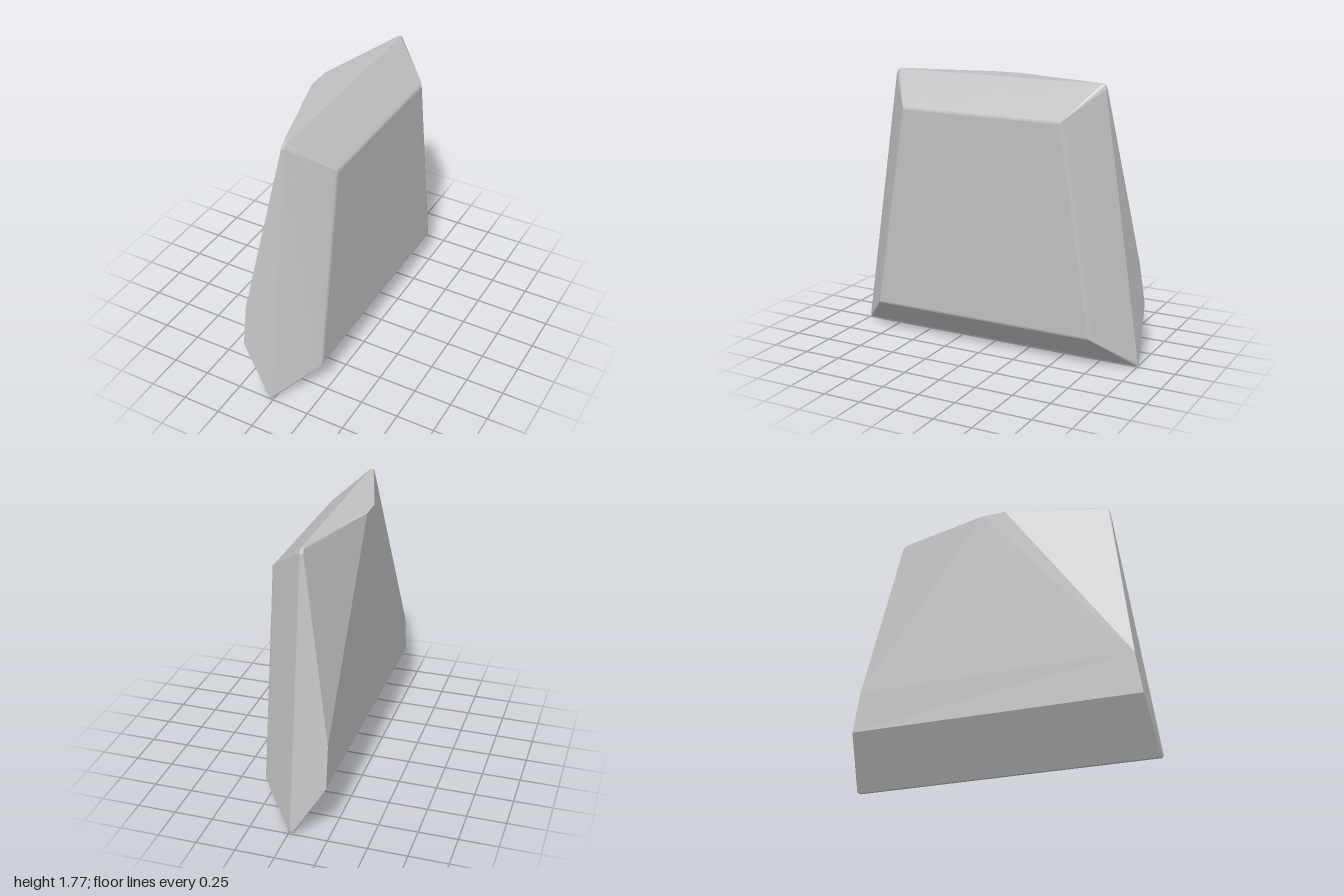
import * as THREE from 'three';
import { ConvexGeometry } from 'three/addons/geometries/ConvexGeometry.js';

export function createModel() {
  const group = new THREE.Group();
  group.name = 'bevelledSlab';
  const grey = new THREE.MeshStandardMaterial({ color: 0xc0c0c0 });
  grey.name = 'plain grey';

  const points = [];
  // Adds a corner and its mirror image across the z = 0 plane
  const addPair = (x, y, z) => points.push(new THREE.Vector3(x, y, z), new THREE.Vector3(x, y, -z));

  // Broad trapezoid face on the +x side, with a softened edge: x, bottom y, bottom z, top y, top z
  for (const [x, y0, z0, y1, z1] of [
    [0.228, 0.226, 0.757, 1.548, 0.541],
    [0.224, 0.214, 0.770, 1.561, 0.553],
    [0.213, 0.202, 0.783, 1.573, 0.565],
  ]) {
    addPair(x, y0, z0);
    addPair(x, y1, z1);
  }

  // Widest outline, a narrow rim with rounded corners: y, z
  for (const [y, z] of [
    [0, 0.985], [0.006, 0.996], [0.02, 1],
    [1.74, 0.742], [1.76, 0.732], [1.77, 0.712],
  ]) {
    addPair(-0.01, y, z);
    addPair(-0.03, y, z);
  }

  // Six-sided face on the -x side, narrowing towards the top
  addPair(-0.229, 0.34, 0.952);
  addPair(-0.2265, 0.61, 0.91);
  addPair(-0.215, 1.765, 0.08);

  const slab = new THREE.Mesh(new ConvexGeometry(points), grey);
  slab.name = 'slab';
  group.add(slab);
  return group;
}
